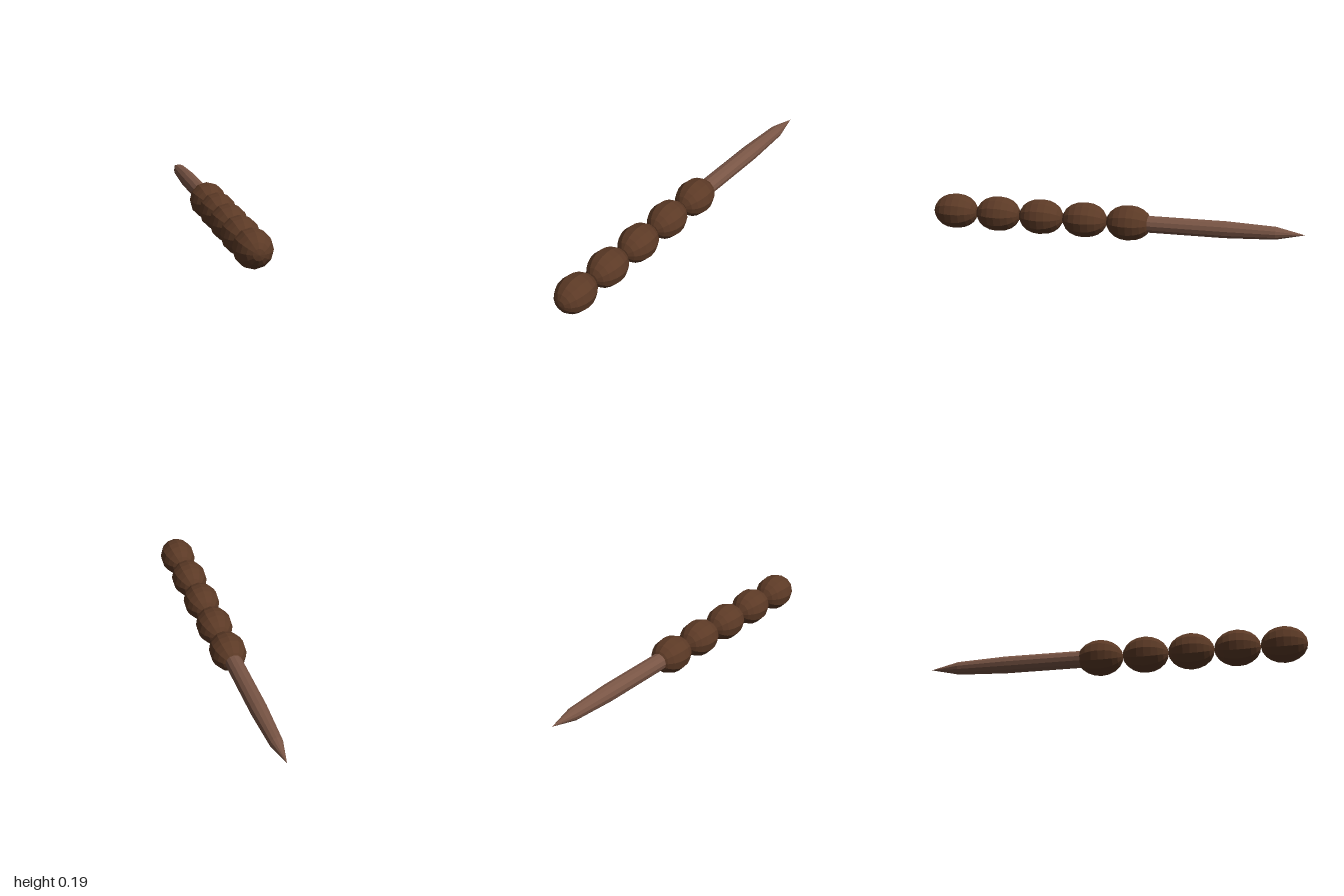
import * as THREE from 'three';

export function createModel() {
  const model = new THREE.Group();
  model.name = 'beadedSpike';

  const darkWood = new THREE.MeshStandardMaterial({ color: 0x5c3a26 });
  darkWood.name = 'dark wood';
  const paleWood = new THREE.MeshStandardMaterial({ color: 0x795545 });
  paleWood.name = 'pale wood';

  const axisY = 0.095;
  // Low-poly look: split faces so that every facet is flat
  const faceted = (geometry) => {
    const flat = geometry.toNonIndexed();
    flat.computeVertexNormals();
    return flat;
  };

  // Handle: five egg-shaped beads in a row, poles along z
  const beadGeometry = faceted(
    new THREE.SphereGeometry(0.095, 12, 10).scale(1, 0.121 / 0.095, 1).rotateX(Math.PI / 2));
  const handle = new THREE.Group();
  handle.name = 'handle';
  for (let i = 0; i < 5; i++) {
    const bead = new THREE.Mesh(beadGeometry, darkWood);
    bead.name = `bead${i + 1}`;
    bead.position.set(0, axisY, 0.879 - i * 0.24);
    handle.add(bead);
  }
  model.add(handle);

  // Shaft: straight, then gently tapered, then a sharp tip (radius, distance behind centre)
  const profile = [[0, 0.12], [0.045, 0.12], [0.045, 0.59], [0.034, 0.85], [0, 1]]
    .map(([r, d]) => new THREE.Vector2(r, d));
  const shaftGeometry = faceted(new THREE.LatheGeometry(profile, 12).rotateX(-Math.PI / 2));
  const shaft = new THREE.Mesh(shaftGeometry, paleWood);
  shaft.name = 'pointedShaft';
  shaft.position.y = axisY;
  model.add(shaft);

  return model;
}
